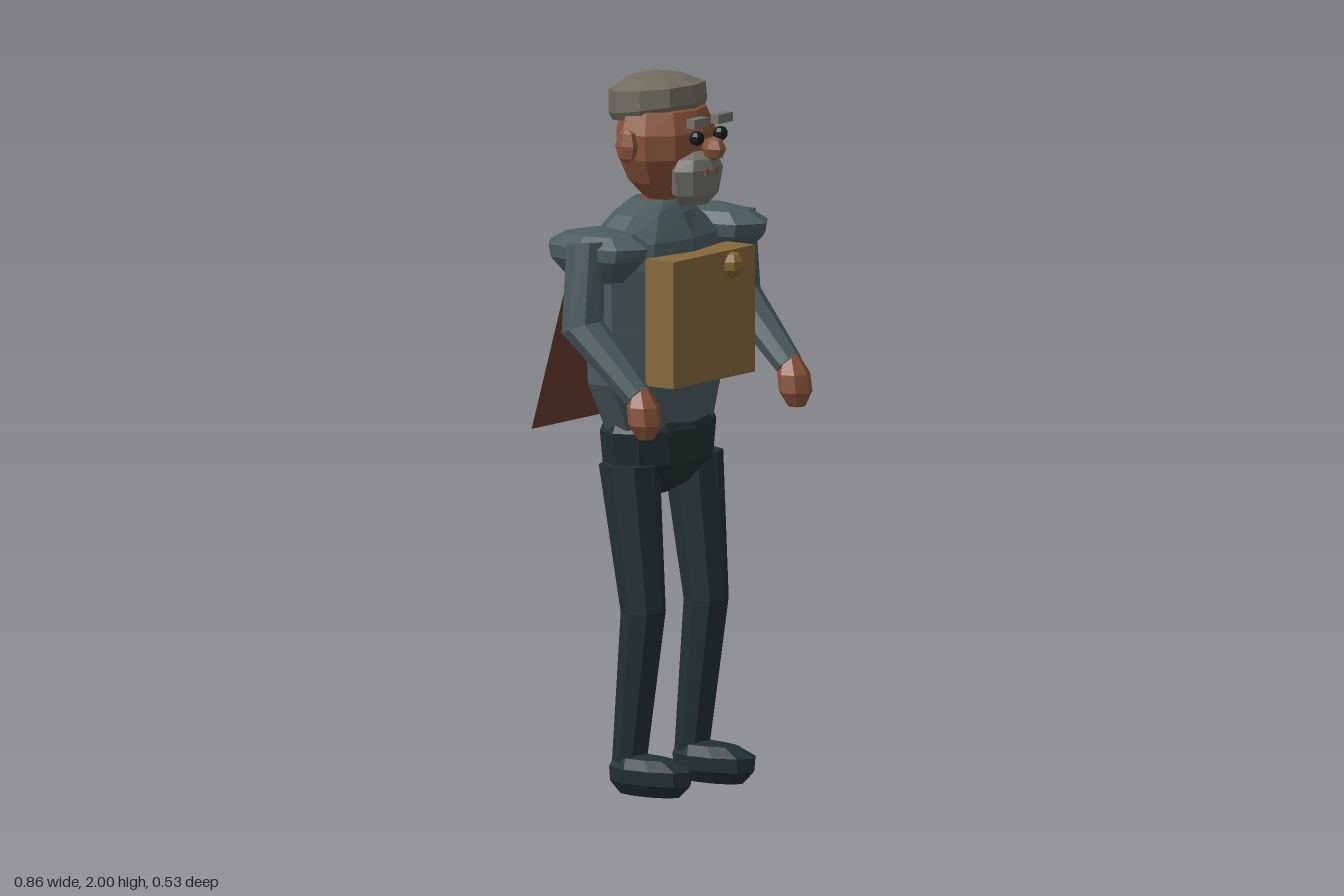
import * as THREE from 'three';
import { ConvexGeometry } from 'three/addons/geometries/ConvexGeometry.js';

const colours = {
  jacket: 0x4a5b5e, trousers: 0x223031, skin: 0x8a543c, cape: 0x663d30,
  cap: 0x6f6b5e, beard: 0x74736b, eye: 0x14191b, pack: 0x86693b, knob: 0x86682f,
};

export function createModel() {
  const model = new THREE.Group();
  const mats = {};
  for (const [name, color] of Object.entries(colours)) {
    mats[name] = new THREE.MeshStandardMaterial({ color, flatShading: true });
    mats[name].name = name;
  }

  function add(name, geometry, mat, x = 0, y = 0, z = 0) {
    const mesh = new THREE.Mesh(geometry, mats[mat]);
    mesh.name = name;
    mesh.position.set(x, y, z);
    model.add(mesh);
    return mesh;
  }

  // Closed body through elliptical rings, bottom to top: [x, y, z, rx, rz, tilt]
  function loft(rings, sides) {
    const pos = [];
    const point = ([x, y, z, rx, rz, tilt = 0], j) => {
      const a = (j / sides) * Math.PI * 2, d = rz * Math.cos(a);
      return [x + rx * Math.sin(a), y + d * Math.sin(tilt), z + d * Math.cos(tilt)];
    };
    const tri = (a, b, c) => pos.push(...a, ...b, ...c);
    const last = rings[rings.length - 1];
    for (let j = 0; j < sides; j++) {
      for (let i = 0; i < rings.length - 1; i++) {
        const a = point(rings[i], j), b = point(rings[i], j + 1);
        const c = point(rings[i + 1], j + 1), d = point(rings[i + 1], j);
        tri(a, b, c);
        tri(a, c, d);
      }
      tri(rings[0].slice(0, 3), point(rings[0], j + 1), point(rings[0], j));
      tri(last.slice(0, 3), point(last, j), point(last, j + 1));
    }
    const g = new THREE.BufferGeometry();
    g.setAttribute('position', new THREE.Float32BufferAttribute(pos, 3));
    g.computeVertexNormals();
    return g;
  }

  const ball = (rx, ry, rz, w = 8, h = 5) =>
    new THREE.SphereGeometry(1, w, h).scale(rx, ry, rz);

  // Torso, hips and neck
  add('torso', loft([
    [0, 1.02, 0.005, 0.205, 0.122], [0, 1.15, -0.005, 0.268, 0.14],
    [0, 1.3, -0.008, 0.272, 0.145], [0, 1.47, -0.01, 0.272, 0.145],
    [0, 1.54, -0.01, 0.245, 0.135], [0, 1.61, -0.005, 0.15, 0.095],
    [0, 1.645, 0.0, 0.07, 0.07],
  ], 10), 'jacket');
  add('hips', loft([
    [0, 0.82, -0.02, 0.05, 0.045], [0, 0.85, -0.01, 0.12, 0.085],
    [0, 0.92, 0.005, 0.198, 0.128], [0, 1.01, 0.005, 0.212, 0.13],
    [0, 1.035, 0.005, 0.2, 0.12],
  ], 12), 'trousers');
  add('neck', loft([[0, 1.59, 0.005, 0.056, 0.056], [0, 1.72, 0.02, 0.052, 0.054]], 8), 'skin');

  // Head and face
  add('head', loft([
    [0, 1.65, 0.03, 0.06, 0.055], [0, 1.7, 0.03, 0.118, 0.095],
    [0, 1.77, 0.032, 0.155, 0.122], [0, 1.84, 0.032, 0.16, 0.125],
    [0, 1.9, 0.025, 0.135, 0.11], [0, 1.93, 0.02, 0.08, 0.07],
  ], 10), 'skin');
  add('cap', loft([
    [0, 1.878, 0.004, 0.134, 0.122, 0.16], [0, 1.9, 0.004, 0.146, 0.133, 0.16],
    [0, 1.958, 0.002, 0.144, 0.13, 0.1], [0, 1.986, 0, 0.085, 0.078, 0.04],
    [0, 2.0, 0, 0.01, 0.01],
  ], 10), 'cap');
  add('beard', loft([
    [0, 1.64, 0.13, 0.045, 0.035], [0, 1.67, 0.133, 0.083, 0.052],
    [0, 1.74, 0.135, 0.1, 0.058], [0, 1.77, 0.133, 0.08, 0.05],
    [0, 1.79, 0.13, 0.035, 0.025],
  ], 8), 'beard');
  add('nose', ball(0.029, 0.034, 0.037, 6, 4), 'skin', 0, 1.8, 0.196);

  // Square pack on the chest, with its knob
  add('chestPack', new THREE.BoxGeometry(0.38, 0.355, 0.097), 'pack', 0, 1.328, 0.149);
  add('packKnob', ball(0.038, 0.038, 0.03, 7, 5), 'knob', 0.083, 1.463, 0.2);

  // Cape: a shallow pyramid pointing backwards
  const capePoints = [[0, 1.21, -0.265]];
  for (const s of [-1, 1]) capePoints.push([s * 0.235, 1.5, -0.115], [s * 0.315, 1.018, -0.197]);
  add('cape', new ConvexGeometry(capePoints.map((p) => new THREE.Vector3(...p))), 'cape');

  // Paired parts
  for (const s of [1, -1]) {
    const side = s > 0 ? 'left' : 'right';
    add(side + 'Ear', ball(0.024, 0.05, 0.036, 6, 4), 'skin', s * 0.16, 1.81, 0.015);
    add(side + 'Eye', ball(0.023, 0.021, 0.02, 8, 5), 'eye', s * 0.055, 1.833, 0.178);
    add(side + 'Brow', new THREE.BoxGeometry(0.067, 0.026, 0.027), 'beard', s * 0.056, 1.877, 0.182);
    add(side + 'LipMark', new THREE.BoxGeometry(0.014, 0.02, 0.009), 'skin', s * 0.021, 1.735, 0.186);

    add(side + 'ShoulderPad', loft([
      [s * 0.28, 1.45, 0.005, 0.06, 0.085], [s * 0.28, 1.515, 0.005, 0.103, 0.155],
      [s * 0.278, 1.55, 0.005, 0.105, 0.165], [s * 0.275, 1.58, 0.005, 0.07, 0.11],
      [s * 0.273, 1.598, 0.005, 0.01, 0.015],
    ], 8), 'jacket');
    add(side + 'Arm', loft([
      [s * 0.352, 1.15, 0.195, 0.04, 0.04, 0.75], [s * 0.366, 1.33, 0.015, 0.062, 0.06, 0.35],
      [s * 0.352, 1.565, 0.015, 0.05, 0.056, 0.1],
    ], 8), 'jacket');
    add(side + 'Hand', loft([
      [s * 0.352, 1.035, 0.222, 0.025, 0.025], [s * 0.352, 1.075, 0.218, 0.05, 0.046],
      [s * 0.352, 1.125, 0.212, 0.048, 0.046], [s * 0.352, 1.178, 0.2, 0.022, 0.024],
    ], 7), 'skin');

    add(side + 'Leg', loft([
      [s * 0.146, 0.07, 0.012, 0.05, 0.047], [s * 0.147, 0.51, 0.062, 0.063, 0.063],
      [s * 0.148, 0.92, 0.015, 0.086, 0.085],
    ], 8), 'trousers');
    add(side + 'Foot', loft([
      [s * 0.148, 0, 0.085, 0.045, 0.1], [s * 0.148, 0.035, 0.088, 0.07, 0.134],
      [s * 0.148, 0.075, 0.088, 0.073, 0.137], [s * 0.148, 0.102, 0.065, 0.048, 0.1],
      [s * 0.148, 0.11, 0.045, 0.02, 0.05],
    ], 10), 'trousers');
  }
  return model;
}
